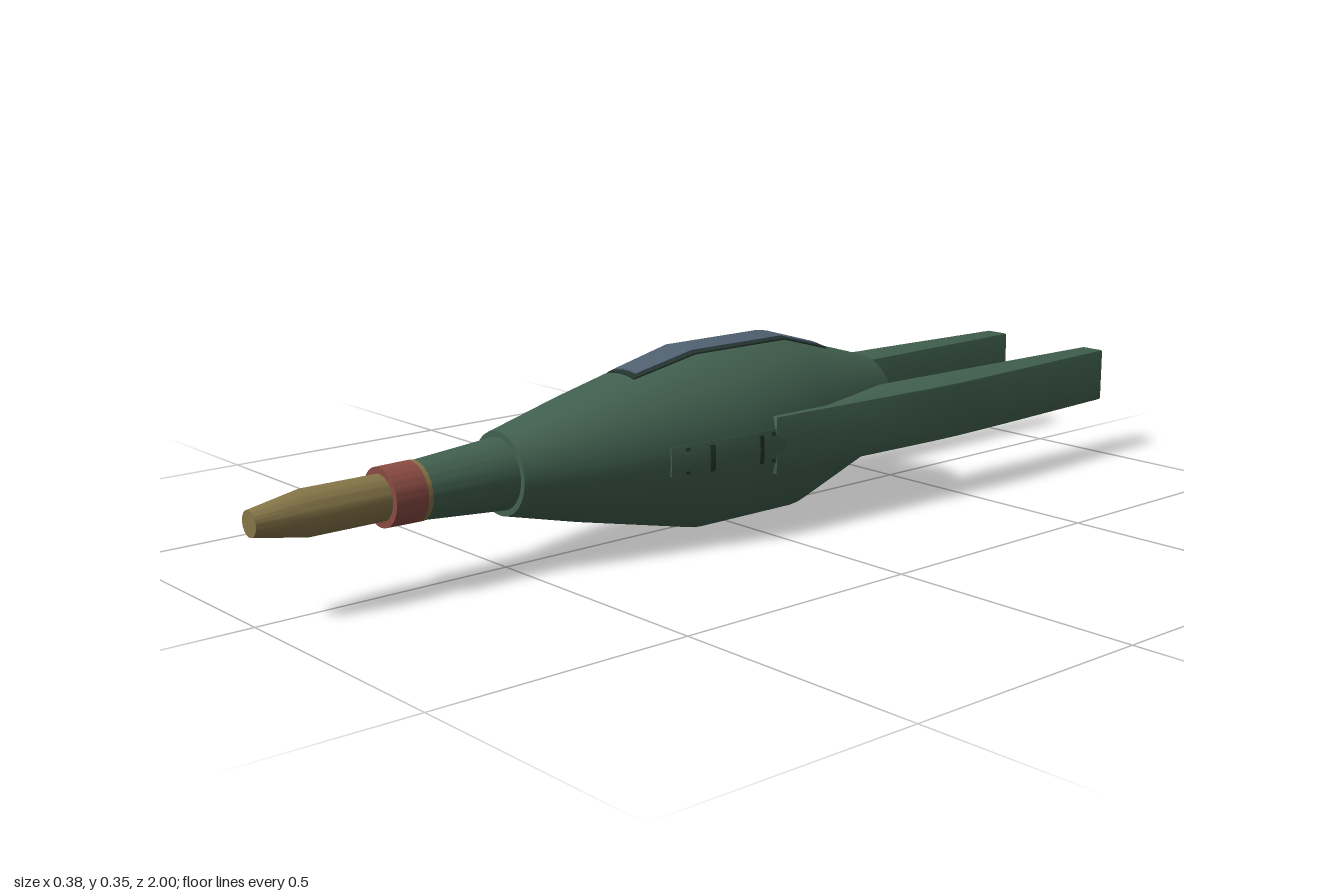
import * as THREE from 'three';
import { toCreasedNormals } from 'three/addons/utils/BufferGeometryUtils.js';

const AXIS_Y = 0.175; // height of the hull's long axis

const mat = (name, color) => {
  const m = new THREE.MeshStandardMaterial({ color });
  m.name = name;
  return m;
};

// Hull outline: [z, radius]
const HULL = [[-0.4, 0.1], [-0.14, 0.175], [0.09, 0.175], [0.35, 0.117], [0.51, 0.077]];

function hullRadius(z) {
  for (let i = 1; i < HULL.length; i++) {
    const [z0, r0] = HULL[i - 1], [z1, r1] = HULL[i];
    if (z <= z1) return r0 + (r1 - r0) * (z - z0) / (z1 - z0);
  }
  return HULL[HULL.length - 1][1];
}

// Round body along z, from [z, radius] pairs, with closed ends
function turned(profile) {
  const pts = profile.map(([z, r]) => new THREE.Vector2(r, z));
  const first = pts[0].y, last = pts[pts.length - 1].y;
  pts.unshift(new THREE.Vector2(0, first));
  pts.push(new THREE.Vector2(0, last));
  const g = new THREE.LatheGeometry(pts, 48).rotateX(Math.PI / 2).translate(0, AXIS_Y, 0);
  return toCreasedNormals(g, 0.45);
}

// Plate wrapped on the hull between z0 and z1, centred on an angle
function hullPlate(z0, z1, angle, half, lift, taper = 0) {
  const inner = HULL.map(p => p[0]).filter(z => z > z0 + 0.001 && z < z1 - 0.001);
  const zs = [z0, ...inner, z1];
  const n = 6, ring = 2 * (n + 1), pos = [], idx = [];
  for (const z of zs) {
    const r = hullRadius(z);
    for (let i = 0; i < ring; i++) {
      const outer = i <= n;
      const t = outer ? i / n : (ring - 1 - i) / n;
      const h = outer ? half - taper : half;
      const a = angle + (2 * t - 1) * h;
      const rr = r + (outer ? lift : -0.004);
      pos.push(rr * Math.cos(a), AXIS_Y + rr * Math.sin(a), z);
    }
  }
  for (let s = 0; s < zs.length - 1; s++) {
    for (let i = 0; i < ring; i++) {
      const a = s * ring + i, b = s * ring + (i + 1) % ring;
      idx.push(a, b, b + ring, a, b + ring, a + ring);
    }
  }
  // end faces
  const e = (zs.length - 1) * ring;
  for (let i = 0; i < n; i++) {
    const a = i, b = i + 1, c = ring - 2 - i, d = ring - 1 - i;
    idx.push(a, c, b, a, d, c);
    idx.push(e + a, e + b, e + c, e + a, e + c, e + d);
  }
  const g = new THREE.BufferGeometry();
  g.setAttribute('position', new THREE.Float32BufferAttribute(pos, 3));
  g.setIndex(idx);
  return toCreasedNormals(g, 0.5);
}

// Rear arm: plan outline extruded upward, with softened edges
function armGeometry(side) {
  const plan = [[0.12, 0], [0.177, 0], [0.183, -0.2], [0.19, -0.42], [0.19, -0.5],
    [0.184, -0.64], [0.163, -1], [0.111, -1], [0.094, -0.42], [0.094, -0.25]];
  const shape = new THREE.Shape(plan.map(([x, z]) => new THREE.Vector2(side * x, -z)));
  const b = 0.004;
  const g = new THREE.ExtrudeGeometry(shape, {
    depth: 0.112 - 2 * b, bevelThickness: b, bevelSize: b, bevelOffset: -b, bevelSegments: 2,
  });
  g.rotateX(-Math.PI / 2).translate(0, 0.119 + b, 0);
  return toCreasedNormals(g, 0.5);
}

export function createModel() {
  const green = mat('hull green', 0x41604f);
  const dark = mat('dark trim', 0x24342e);
  const glass = mat('canopy glass', 0x506171);
  const red = mat('collar red', 0x8b4b43);
  const gold = mat('barrel brass', 0x857548);

  const group = new THREE.Group();
  group.name = 'fighter';
  const add = (name, geometry, material) => {
    const mesh = new THREE.Mesh(geometry, material);
    mesh.name = name;
    group.add(mesh);
  };

  // Hull, nose cone and gun
  add('hull', turned(HULL), green);
  add('noseCone', turned([[0.5, 0.067], [0.688, 0.052]]), green);
  add('collarSeam', turned([[0.683, 0.054], [0.692, 0.054]]), gold);
  add('collar', turned([[0.692, 0.054], [0.755, 0.053]]), red);
  add('barrel', turned([[0.74, 0.041], [0.9, 0.041], [1, 0.023]]), gold);

  // Canopy on the spine
  add('canopyFrame', hullPlate(-0.265, 0.232, Math.PI / 2, 0.29, 0.0025, 0.02), dark);
  add('canopyGlass', hullPlate(-0.252, 0.22, Math.PI / 2, 0.21, 0.0045), glass);

  // Both flanks: arm, access panel, slots and rivets
  for (const side of [1, -1]) {
    const word = side > 0 ? 'left' : 'right';
    const a = side > 0 ? 0 : Math.PI;
    add(word + 'Arm', armGeometry(side), green);
    add(word + 'Panel', hullPlate(-0.02, 0.232, a, 0.19, 0.003), green);
    for (const z of [0.04, 0.15]) {
      add(word + 'Slot', hullPlate(z - 0.005, z + 0.005, a, 0.15, 0.006), dark);
    }
    for (const z of [0.01, 0.2]) {
      for (const off of [-0.14, 0.14]) {
        add(word + 'Rivet', hullPlate(z - 0.004, z + 0.004, a + off, 0.02, 0.006), dark);
      }
    }
  }
  return group;
}
